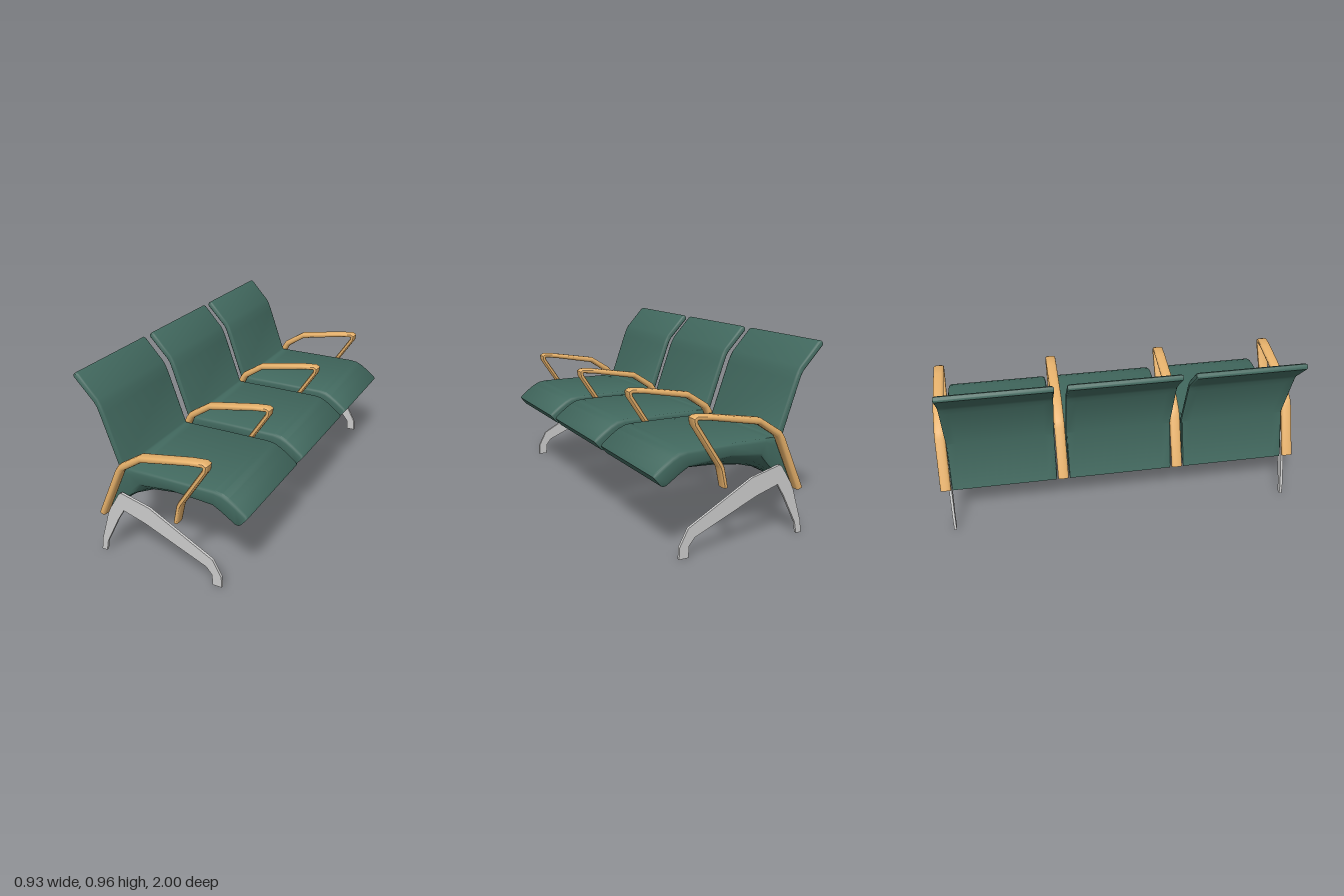
import * as THREE from 'three';
import { toCreasedNormals } from 'three/addons/utils/BufferGeometryUtils.js';

// Skin a list of closed rings (right-handed around the direction of travel) and cap both ends
function loft(rings, crease) {
  const n = rings[0].length, pos = [], idx = [];
  rings.forEach(r => r.forEach(p => pos.push(p.x, p.y, p.z)));
  for (let i = 0; i < rings.length - 1; i++) {
    for (let j = 0; j < n; j++) {
      const k = (j + 1) % n;
      const a = i * n + j, b = i * n + k, c = b + n, d = a + n;
      idx.push(a, b, c, a, c, d);
    }
  }
  [0, rings.length - 1].forEach((r, end) => {
    const mid = new THREE.Vector3();
    rings[r].forEach(p => mid.addScaledVector(p, 1 / n));
    const m = pos.length / 3;
    pos.push(mid.x, mid.y, mid.z);
    for (let j = 0; j < n; j++) {
      const a = r * n + j, b = r * n + (j + 1) % n;
      if (end) idx.push(m, a, b); else idx.push(m, b, a);
    }
  });
  const g = new THREE.BufferGeometry();
  g.setAttribute('position', new THREE.Float32BufferAttribute(pos, 3));
  g.setIndex(idx);
  return toCreasedNormals(g, crease);
}

// Seat shell stations: upper face x,y / lower rim x,y / lower centre x,y (when it bulges)
const STATIONS = [
  [-0.452, 0.962, -0.464, 0.948],
  [-0.438, 0.957, -0.465, 0.938],
  [-0.335, 0.845, -0.358, 0.826],
  [-0.318, 0.817, -0.344, 0.805],
  [-0.302, 0.778, -0.33, 0.768],
  [-0.208, 0.515, -0.238, 0.505],
  [-0.2, 0.51, -0.32, 0.25],
  [-0.19, 0.51, -0.172, 0.37, -0.19, 0.318],
  [-0.15, 0.511, -0.12, 0.43, -0.09, 0.34],
  [0.05, 0.512, 0.05, 0.45, 0.06, 0.362],
  [0.29, 0.512, 0.28, 0.435, 0.29, 0.394],
  [0.33, 0.507, 0.325, 0.41, 0.34, 0.4],
  [0.365, 0.491, 0.352, 0.392],
  [0.4, 0.468, 0.396, 0.363],
  [0.455, 0.425, 0.413, 0.36],
  [0.463, 0.412, 0.425, 0.366],
];

function seatGeometry() {
  const h = 0.29, r = 0.012, steps = 12;
  const rings = STATIONS.map(([tx, ty, ex, ey, cx = ex, cy = ey]) => {
    const at = (f, z) => new THREE.Vector3(tx + (ex - tx) * f, ty + (ey - ty) * f, z);
    const ring = [at(0, -h + r), at(0, h - r), at(0.08, h - r * 0.3), at(0.22, h), at(0.85, h)];
    for (let i = 0; i <= steps; i++) {
      const u = 1 - 2 * i / steps, k = 1 - Math.abs(u) ** 3;
      ring.push(new THREE.Vector3(ex + (cx - ex) * k, ey + (cy - ey) * k, u * (h - r * 0.4)));
    }
    ring.push(at(0.85, -h), at(0.22, -h), at(0.08, -h + r * 0.3));
    return ring;
  });
  return loft(rings, 0.75);
}

// Armrest centre line: x, y, half thickness
const ARM = [
  [-0.318, 0.253, 0.017], [-0.2, 0.518, 0.018], [-0.182, 0.544, 0.018], [-0.068, 0.618, 0.017],
  [0.2, 0.666, 0.014], [0.272, 0.673, 0.013], [0.283, 0.667, 0.013], [0.28, 0.645, 0.013],
  [0.143, 0.437, 0.013], [0.135, 0.418, 0.013], [0.115, 0.326, 0.012],
];

function armGeometry() {
  const halfWidth = 0.029, sides = 16;
  const pts = ARM.map(([x, y]) => new THREE.Vector2(x, y));
  const rings = pts.map((p, i) => {
    const d1 = p.clone().sub(pts[Math.max(i - 1, 0)]).normalize();
    const d2 = pts[Math.min(i + 1, pts.length - 1)].clone().sub(p).normalize();
    const t = d1.clone().add(d2).normalize();
    const miter = 1 / Math.max(0.75, Math.abs(t.dot(i ? d1 : d2)));
    const ring = [];
    for (let j = 0; j < sides; j++) {
      const a = j / sides * Math.PI * 2;
      const round = v => Math.sign(v) * Math.abs(v) ** 0.65;
      const o = round(Math.cos(a)) * ARM[i][2] * miter;
      ring.push(new THREE.Vector3(p.x - t.y * o, p.y + t.x * o, round(Math.sin(a)) * halfWidth));
    }
    return ring;
  });
  return loft(rings, 0.7);
}

// Flat plate leg with a rear and a front foot
function legGeometry() {
  const outline = [
    [-0.37, 0], [-0.34, 0], [-0.328, 0.06], [-0.25, 0.215], [-0.212, 0.277], [-0.09, 0.24],
    [0.255, 0.095], [0.285, 0.058], [0.288, 0], [0.338, 0], [0.335, 0.06], [0.29, 0.145],
    [-0.06, 0.335], [-0.22, 0.375], [-0.235, 0.366], [-0.305, 0.25], [-0.363, 0.06],
  ].map(([x, y]) => new THREE.Vector2(x, y));
  const g = new THREE.ExtrudeGeometry(new THREE.Shape(outline), { depth: 0.014, bevelEnabled: false });
  return g.translate(0, 0, -0.007);
}

export function createModel() {
  const group = new THREE.Group();
  group.name = 'threeSeatBench';
  const green = new THREE.MeshStandardMaterial({ color: 0x41685e });
  const wood = new THREE.MeshStandardMaterial({ color: 0xe5b06a });
  const grey = new THREE.MeshStandardMaterial({ color: 0xcccccc });

  const place = (geometry, material, name, zs) => zs.forEach((z, i) => {
    const mesh = new THREE.Mesh(geometry, material);
    mesh.name = name + (i + 1);
    mesh.position.z = z;
    group.add(mesh);
  });
  place(seatGeometry(), green, 'seat', [-0.65, -0.004, 0.642]);
  place(armGeometry(), wood, 'armrest', [-0.971, -0.326, 0.32, 0.971]);
  place(legGeometry(), grey, 'leg', [-0.949, 0.951]);
  return group;
}
